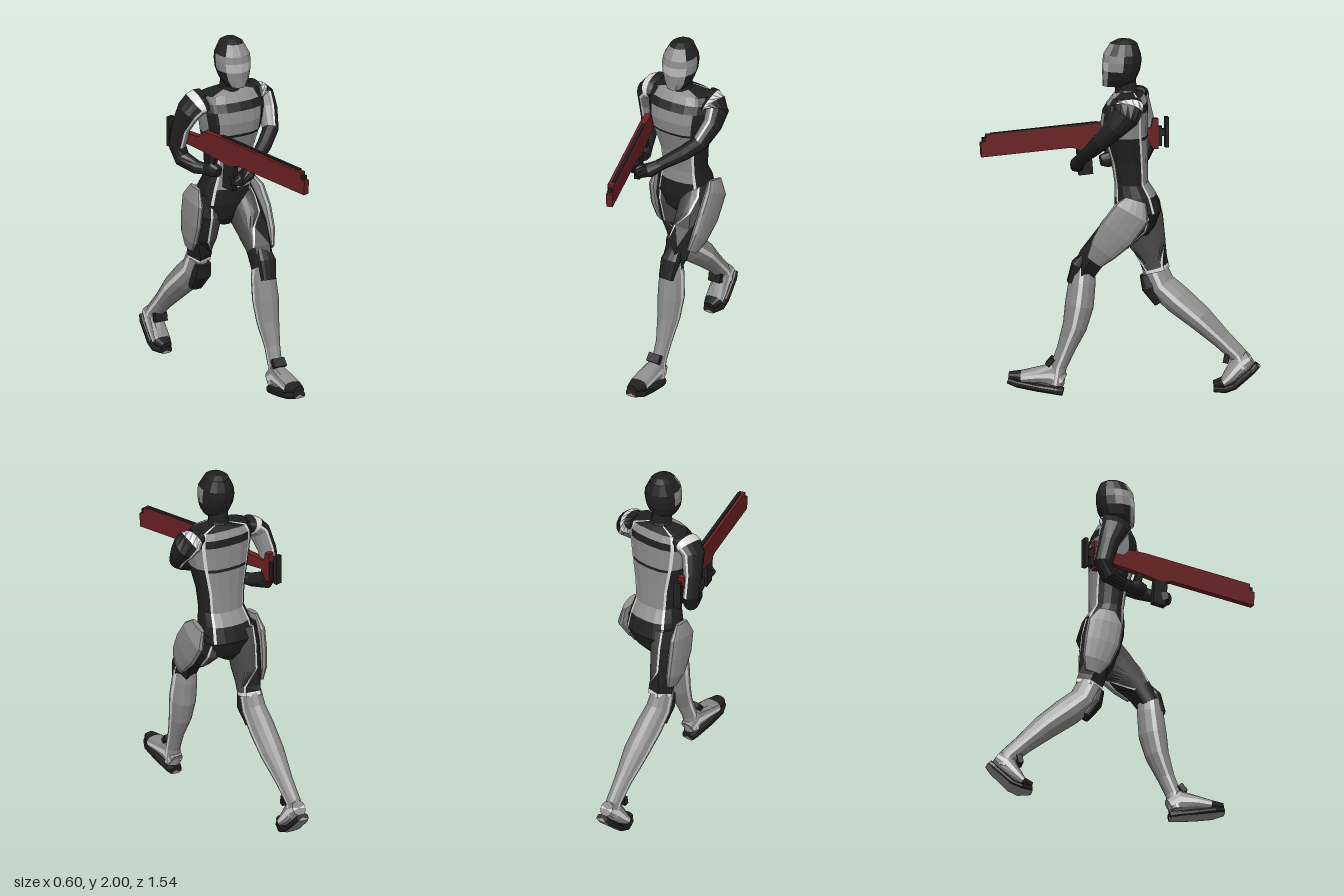
import * as THREE from 'three';

const mat = (name, color) => Object.assign(new THREE.MeshStandardMaterial({ color }), { name });
const black = mat('suitBlack', 0x202020);
const dark = mat('thighGrey', 0x4a4a4a);
const grey = mat('panelGrey', 0x8c8c8c);
const light = mat('visorGrey', 0xb8b8b8);
const white = mat('stripeWhite', 0xdcdcdc);
const red = mat('rifleRed', 0x6a2022);

// Column edges in degrees from the front, narrow columns carry the stripes
const LIMB = [0, 27, 54, 81, 99, 126, 153, 180];
const ARM = [0, 14, 40, 65, 90, 115, 140, 166, 180];
const THIGH = [0, 20, 42, 48, 70, 90, 110, 132, 138, 160, 180];
const TORSO = [0, 20, 40, 48, 70, 90, 110, 132, 140, 160, 180];

// Moves the columns 45 degrees off the outside to `spread` degrees off it
function spreadAngle(a, side, spread) {
  const d = ((a * side - 90 + 540) % 360) - 180, q = Math.abs(d);
  const moved = q <= 45 ? q * spread / 45 : spread + (q - 45) * (180 - spread) / 135;
  return side * (90 + Math.sign(d) * moved);
}

// Skins cross-sections [x, y, z, halfWidth, halfDepth, spread]; pick(ring, angle) gives the colour.
// Angle 0 is the front, positive angles face the outside of the given side.
function loft(name, secs, pick, { side = 1, cols = LIMB, sq = 1, level = false } = {}) {
  const angles = [...cols.slice(1).reverse().map(a => -a), ...cols];
  const centre = secs.map(s => new THREE.Vector3(s[0], s[1], s[2]));
  const pw = v => Math.sign(v) * Math.abs(v) ** sq;
  const rings = secs.map((s, i) => {
    const t = level ? new THREE.Vector3(0, -1, 0)
      : centre[Math.min(i + 1, secs.length - 1)].clone().sub(centre[Math.max(i - 1, 0)]).normalize();
    const u = new THREE.Vector3(1, 0, 0).addScaledVector(t, -t.x).normalize();
    const f = t.clone().cross(u);
    return angles.map(a => {
      const r = THREE.MathUtils.degToRad(s[5] ? spreadAngle(a, side, s[5]) : a);
      return centre[i].clone().addScaledVector(u, s[3] * pw(Math.sin(r))).addScaledVector(f, s[4] * pw(Math.cos(r)));
    });
  });
  const buckets = new Map();
  const tri = (m, ...p) => {
    if (!buckets.has(m)) buckets.set(m, []);
    p.forEach(v => buckets.get(m).push(v.x, v.y, v.z));
  };
  const last = secs.length - 1;
  for (let j = 0; j < angles.length - 1; j++) {
    const mid = side * (angles[j] + angles[j + 1]) / 2;
    for (let i = 0; i < last; i++) {
      const m = pick(i, mid);
      const [a, b, c, d] = [rings[i][j], rings[i][j + 1], rings[i + 1][j + 1], rings[i + 1][j]];
      tri(m, a, d, c);
      tri(m, a, c, b);
    }
    tri(pick(0, mid), centre[0], rings[0][j], rings[0][j + 1]);
    tri(pick(last - 1, mid), centre[last], rings[last][j + 1], rings[last][j]);
  }
  const geo = new THREE.BufferGeometry();
  const all = [], mats = [];
  for (const [m, p] of buckets) {
    geo.addGroup(all.length / 3, p.length / 3, mats.length);
    mats.push(m);
    for (const v of p) all.push(v);
  }
  geo.setAttribute('position', new THREE.Float32BufferAttribute(all, 3));
  geo.computeVertexNormals();
  const mesh = new THREE.Mesh(geo, mats);
  mesh.name = name;
  return mesh;
}

const plain = m => () => m;
const sideStripe = a => Math.abs(Math.abs(a) - 90) < 8;

function group(name, ...parts) {
  const g = new THREE.Group();
  g.name = name;
  return g.add(...parts);
}

function box(name, m, size, pos, rx = 0) {
  const b = new THREE.Mesh(new THREE.BoxGeometry(...size), m);
  b.name = name;
  b.position.set(...pos);
  b.rotation.x = rx;
  return b;
}

function buildTorso() {
  const secs = [
    [0.02, 1.71, -0.05, 0.07, 0.05], [0.02, 1.69, -0.05, 0.17, 0.085], [0.02, 1.65, -0.045, 0.19, 0.11],
    [0.02, 1.605, -0.035, 0.192, 0.125], [0.02, 1.54, -0.03, 0.182, 0.13], [0.02, 1.47, -0.035, 0.17, 0.125],
    [0.02, 1.452, -0.04, 0.165, 0.12], [0.02, 1.32, -0.06, 0.137, 0.1], [0.02, 1.2, -0.07, 0.128, 0.092],
    [0.015, 1.13, -0.09, 0.145, 0.115], [0.01, 1.04, -0.105, 0.16, 0.128], [0.005, 0.95, -0.1, 0.12, 0.1],
    [0.005, 0.9, -0.1, 0.04, 0.06]];
  return loft('torso', secs, (i, a) => {
    const q = Math.abs(a);
    if (i === 2 || i === 5) return q > 132 && q < 140 ? white : black;
    if (i < 10 && ((q > 40 && q < 48 && i > 5) || (q > 132 && q < 140))) return white;
    if (i === 0) return q < 50 ? grey : black;
    if ((i === 3 || i === 4) && q > 70 && q < 132) return grey;
    return i < 9 && (q < 40 || q > 140) ? grey : black;
  }, { cols: TORSO, sq: 0.8, level: true });
}

function buildHead() {
  return group('head', loft('helmet', [
    [0.023, 2, -0.03, 0.03, 0.04], [0.023, 1.98, -0.028, 0.062, 0.075], [0.023, 1.92, -0.02, 0.092, 0.104],
    [0.023, 1.88, -0.018, 0.096, 0.108], [0.023, 1.83, -0.013, 0.092, 0.105], [0.023, 1.78, -0.003, 0.078, 0.093],
    [0.023, 1.74, 0.012, 0.052, 0.077]], (i, a) => {
    const q = Math.abs(a);
    if (q < 54 && i > 0) return i === 3 ? light : grey;
    return (i === 2 || i === 3) && q < 100 ? grey : black;
  }, { level: true, sq: 0.9 }),
  loft('neck', [[0.022, 1.78, -0.03, 0.055, 0.065], [0.02, 1.72, -0.04, 0.055, 0.06], [0.02, 1.67, -0.05, 0.075, 0.07]],
    plain(black), { level: true }));
}

// Feet run heel to toe, so angle 0 is the top.
function foot(name, sole, upper, strap, tilt) {
  return group(name,
    loft('sole', sole, (i, a) => Math.abs(a) > 126 ? grey : black, { sq: 0.6 }),
    loft('shoe', upper, (i, a) => i === 3 ? black : sideStripe(a) ? white : grey, { sq: 0.8 }),
    box('ankleStrap', black, [0.075, 0.05, 0.03], strap, tilt));
}

function leg(name, side, { thigh, shin, knee, pad }) {
  const end = thigh.length - 2;
  return group(name,
    loft('thigh', thigh, (i, a) => {
      if (i === end) return side < 0 ? white : black;
      const d = Math.abs(((a - 90 + 540) % 360) - 180);
      return d < 42 ? black : d < 48 ? white : dark;
    }, { side, cols: THIGH }),
    loft('shin', shin, (i, a) => sideStripe(a) ? white : grey, { side }),
    loft('kneeGuard', knee, plain(black), { sq: 0.7 }),
    loft('thighPad', pad, plain(grey), { sq: 0.85 }));
}

// White shoulder band, grey inner panel edged in white, black outside and forearm
function arm(name, side, secs, hand) {
  return group(name,
    loft('sleeve', secs, (i, a) => {
      if (i === 1) return white;
      if (i === 0 || i > 4) return black;
      if ((a > 0 && a < 14) || a > 166) return white;
      return a < 0 ? grey : black;
    }, { side, cols: ARM }),
    loft('hand', hand, plain(black), { sq: 0.8 }));
}

function buildRifle() {
  // Side outline as (forward, up) pairs
  const outline = [[0.79, 1.33], [0.795, 1.41], [0.765, 1.42], [0.765, 1.455], [0.12, 1.5], [0.02, 1.5], [-0.02, 1.46],
    [-0.16, 1.46], [-0.17, 1.51], [-0.2, 1.51], [-0.2, 1.34], [-0.17, 1.34], [-0.14, 1.4], [0.03, 1.38], [0.22, 1.35], [0.29, 1.365], [0.72, 1.335]];
  const geo = new THREE.ExtrudeGeometry(new THREE.Shape(outline.map(p => new THREE.Vector2(...p))), { depth: 0.036, bevelEnabled: false });
  geo.rotateY(-Math.PI / 2).translate(0.018, 0, 0);
  const body = new THREE.Mesh(geo, red);
  body.name = 'rifleBody';
  const g = group('rifle', body,
    box('topRail', black, [0.018, 0.012, 0.6], [0.009, 1.479, 0.44], 0.07),
    box('muzzle', black, [0.022, 0.03, 0.02], [0, 1.425, 0.775]),
    box('buttPlate', black, [0.04, 0.17, 0.022], [0, 1.43, -0.25]),
    box('buttPost', black, [0.03, 0.11, 0.018], [0, 1.41, -0.212]),
    box('buttLink', black, [0.024, 0.04, 0.04], [0, 1.43, -0.225]),
    box('rearGrip', black, [0.03, 0.13, 0.04], [0, 1.33, 0.075], 0.25),
    box('foreGrip', black, [0.034, 0.16, 0.08], [0, 1.29, 0.21], 0.08));
  g.position.x = -0.172;
  g.rotation.y = 0.285;
  return g;
}

export function createModel() {
  const model = group('runningSoldier', buildTorso(), buildHead(), buildRifle());

  // Left leg strides forward, right leg pushes off behind
  model.add(leg('leftLeg', 1, {
    thigh: [[0.09, 1.09, -0.11, 0.08, 0.1, 58], [0.105, 1, -0.07, 0.095, 0.115, 62], [0.115, 0.92, 0.01, 0.09, 0.105, 75],
      [0.115, 0.86, 0.07, 0.084, 0.095, 120], [0.11, 0.79, 0.14, 0.072, 0.082, 150], [0.1, 0.7, 0.19, 0.062, 0.07, 150]],
    shin: [[0.1, 0.74, 0.19, 0.055, 0.065], [0.1, 0.65, 0.195, 0.068, 0.075], [0.105, 0.52, 0.21, 0.073, 0.08],
      [0.105, 0.4, 0.235, 0.062, 0.068], [0.105, 0.27, 0.285, 0.042, 0.05], [0.1, 0.17, 0.325, 0.038, 0.045], [0.095, 0.07, 0.34, 0.045, 0.045]],
    knee: [[0.11, 0.83, 0.16, 0.035, 0.015], [0.105, 0.75, 0.215, 0.055, 0.04], [0.1, 0.65, 0.25, 0.045, 0.03]],
    pad: [[0.185, 1.13, -0.11, 0.018, 0.06], [0.203, 1.06, -0.09, 0.03, 0.105], [0.206, 0.95, -0.01, 0.03, 0.105],
      [0.198, 0.85, 0.07, 0.028, 0.08], [0.182, 0.78, 0.12, 0.016, 0.05]],
  }));
  model.add(leg('rightLeg', -1, {
    thigh: [[-0.08, 1.09, -0.11, 0.08, 0.1, 72], [-0.09, 0.98, -0.12, 0.09, 0.115, 80], [-0.095, 0.83, -0.15, 0.082, 0.1, 84],
      [-0.095, 0.73, -0.18, 0.07, 0.085, 145], [-0.095, 0.7, -0.19, 0.068, 0.082, 150], [-0.095, 0.68, -0.195, 0.068, 0.082, 150]],
    shin: [[-0.1, 0.69, -0.185, 0.058, 0.075], [-0.1, 0.6, -0.225, 0.064, 0.08], [-0.1, 0.52, -0.315, 0.07, 0.083],
      [-0.1, 0.42, -0.435, 0.068, 0.073], [-0.105, 0.3, -0.56, 0.046, 0.055], [-0.11, 0.21, -0.65, 0.04, 0.05], [-0.11, 0.14, -0.68, 0.045, 0.045]],
    knee: [[-0.095, 0.66, -0.135, 0.045, 0.03], [-0.095, 0.59, -0.155, 0.055, 0.04], [-0.1, 0.5, -0.21, 0.04, 0.025]],
    pad: [[-0.162, 1.13, -0.1, 0.013, 0.05], [-0.172, 1.05, -0.11, 0.027, 0.1], [-0.172, 0.93, -0.13, 0.028, 0.1],
      [-0.167, 0.82, -0.16, 0.025, 0.08], [-0.158, 0.75, -0.18, 0.013, 0.045]],
  }));
  model.add(foot('leftFoot',
    [[0.095, 0.03, 0.3, 0.035, 0.022], [0.095, 0.036, 0.33, 0.045, 0.022], [0.095, 0.055, 0.45, 0.055, 0.022], [0.095, 0.075, 0.55, 0.058, 0.022], [0.095, 0.09, 0.605, 0.035, 0.018]],
    [[0.095, 0.09, 0.3, 0.038, 0.045], [0.095, 0.125, 0.36, 0.044, 0.07], [0.095, 0.12, 0.45, 0.052, 0.045], [0.095, 0.11, 0.53, 0.054, 0.035], [0.095, 0.115, 0.6, 0.032, 0.022]],
    [0.097, 0.2, 0.37], -0.7));
  model.add(foot('rightFoot',
    [[-0.11, 0.16, -0.755, 0.035, 0.02], [-0.11, 0.13, -0.73, 0.045, 0.02], [-0.11, 0.04, -0.63, 0.055, 0.02], [-0.11, 0.021, -0.58, 0.058, 0.02], [-0.11, 0.021, -0.515, 0.035, 0.018]],
    [[-0.11, 0.2, -0.715, 0.038, 0.04], [-0.11, 0.165, -0.665, 0.044, 0.062], [-0.11, 0.1, -0.61, 0.052, 0.045], [-0.11, 0.06, -0.57, 0.054, 0.03], [-0.11, 0.045, -0.515, 0.032, 0.022]],
    [-0.11, 0.195, -0.585], -0.2));

  // Left arm reaches to the fore grip, right arm bends back to the rear grip
  model.add(arm('leftArm', 1,
    [[0.16, 1.655, -0.06, 0.04, 0.085], [0.19, 1.65, -0.062, 0.052, 0.092], [0.21, 1.638, -0.064, 0.058, 0.09],
      [0.238, 1.61, -0.055, 0.06, 0.08], [0.24, 1.545, -0.002, 0.052, 0.062], [0.21, 1.46, 0.08, 0.045, 0.05],
      [0.14, 1.4, 0.135, 0.042, 0.042], [0.02, 1.32, 0.21, 0.032, 0.03]],
    [[0.04, 1.33, 0.2, 0.03, 0.03], [-0.02, 1.29, 0.23, 0.04, 0.038], [-0.08, 1.27, 0.24, 0.04, 0.038], [-0.13, 1.265, 0.23, 0.022, 0.025]]));
  model.add(arm('rightArm', -1,
    [[-0.13, 1.655, -0.055, 0.04, 0.085], [-0.165, 1.65, -0.057, 0.052, 0.092], [-0.187, 1.638, -0.06, 0.056, 0.09],
      [-0.222, 1.6, -0.07, 0.056, 0.08], [-0.248, 1.5, -0.11, 0.05, 0.06], [-0.255, 1.38, -0.14, 0.047, 0.055],
      [-0.24, 1.31, -0.11, 0.045, 0.05], [-0.2, 1.28, -0.02, 0.038, 0.038], [-0.16, 1.28, 0.045, 0.03, 0.03]],
    [[-0.17, 1.28, 0.03, 0.03, 0.03], [-0.15, 1.29, 0.075, 0.035, 0.045], [-0.135, 1.285, 0.115, 0.025, 0.03]]));
  return model;
}
